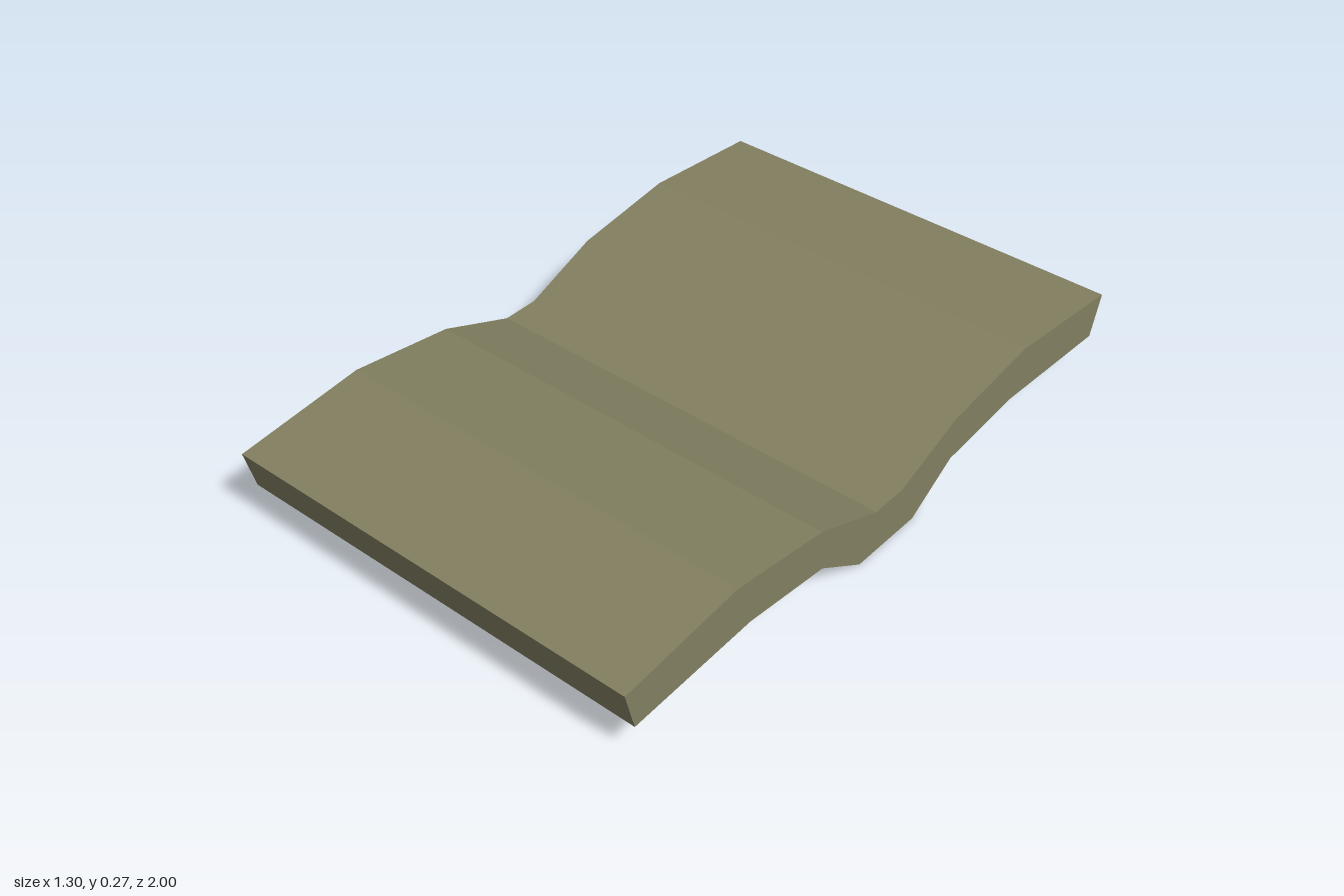
import * as THREE from 'three';

// Cross-section points [z, y], front to back
const TOP = [[1, 0.23], [0.61, 0.27], [0.29, 0.225], [0.06, 0.135], [-0.05, 0.135], [-0.28, 0.225], [-0.6, 0.27], [-1, 0.23]];
const BOTTOM = [[0.97, 0.11], [0.56, 0.13], [0.28, 0.1], [0.12, 0], [-0.11, 0], [-0.27, 0.1], [-0.55, 0.13], [-0.96, 0.11]];
const X0 = -0.64, X1 = 0.647;

// Flat-faced geometry from four-cornered faces
function fromQuads(quads) {
  const positions = [];
  for (const [a, b, c, d] of quads) positions.push(...a, ...b, ...c, ...a, ...c, ...d);
  const geometry = new THREE.BufferGeometry();
  geometry.setAttribute('position', new THREE.Float32BufferAttribute(positions, 3));
  geometry.computeVertexNormals();
  return geometry;
}

// Height of the underside at a given z
function undersideY(z) {
  for (let i = 0; i < BOTTOM.length - 1; i++) {
    const [za, ya] = BOTTOM[i], [zb, yb] = BOTTOM[i + 1];
    if (z <= za && z >= zb) return ya + (yb - ya) * (za - z) / (za - zb);
  }
  return BOTTOM[0][1];
}

// Thin oval spot that follows the underside
function spotGeometry(x, z, rx, rz) {
  const rows = 16;
  const row = (i) => {
    const angle = Math.PI * i / rows;
    const zi = z + rz * Math.cos(angle), w = rx * Math.sin(angle);
    const y = Math.max(0, undersideY(zi) - 0.003);
    return [[x - w, y, zi], [x + w, y, zi]];
  };
  const quads = [];
  for (let i = 0; i < rows; i++) {
    const [l0, r0] = row(i), [l1, r1] = row(i + 1);
    quads.push([l0, l1, r1, r0]);
  }
  return fromQuads(quads);
}

export function createModel() {
  const group = new THREE.Group();
  group.name = 'wavySlab';
  const olive = new THREE.MeshStandardMaterial({ color: 0x827f60 });
  olive.name = 'olive';
  const dark = new THREE.MeshStandardMaterial({ color: 0x2e2d22 });
  dark.name = 'darkUnderside';
  const spotOlive = olive.clone();
  spotOlive.name = 'oliveSpot';
  spotOlive.side = THREE.DoubleSide;

  const add = (name, geometry, material) => {
    const mesh = new THREE.Mesh(geometry, material);
    mesh.name = name;
    group.add(mesh);
  };

  const line = (profile, x) => profile.map(([z, y]) => [x, y, z]);
  const tl = line(TOP, X0), tr = line(TOP, X1), bl = line(BOTTOM, X0), br = line(BOTTOM, X1);
  const n = TOP.length - 1;
  tl[n][0] = -0.652; // one corner is pulled slightly outwards

  const top = [], sides = [], under = [];
  for (let i = 0; i < n; i++) {
    const j = i + 1;
    top.push([tl[i], tr[i], tr[j], tl[j]]);
    under.push([bl[i], bl[j], br[j], br[i]]);
    sides.push([br[i], br[j], tr[j], tr[i]], [bl[j], bl[i], tl[i], tl[j]]);
  }
  // End faces
  const ends = [[bl[0], br[0], tr[0], tl[0]], [br[n], bl[n], tl[n], tr[n]]];

  add('topSurface', fromQuads(top), olive);
  add('sideFaces', fromQuads(sides), olive);
  add('endFaces', fromQuads(ends), olive);
  add('underside', fromQuads(under), dark);

  // Small light spots on the underside
  const spots = [[-0.485, 0.12, 0.065, 0.07], [-0.5, 0.93, 0.055, 0.035], [0.53, 0.01, 0.025, 0.025], [0.615, -0.93, 0.03, 0.03]];
  spots.forEach(([x, z, rx, rz], i) => add(`undersideSpot${i + 1}`, spotGeometry(x, z, rx, rz), spotOlive));
  return group;
}
